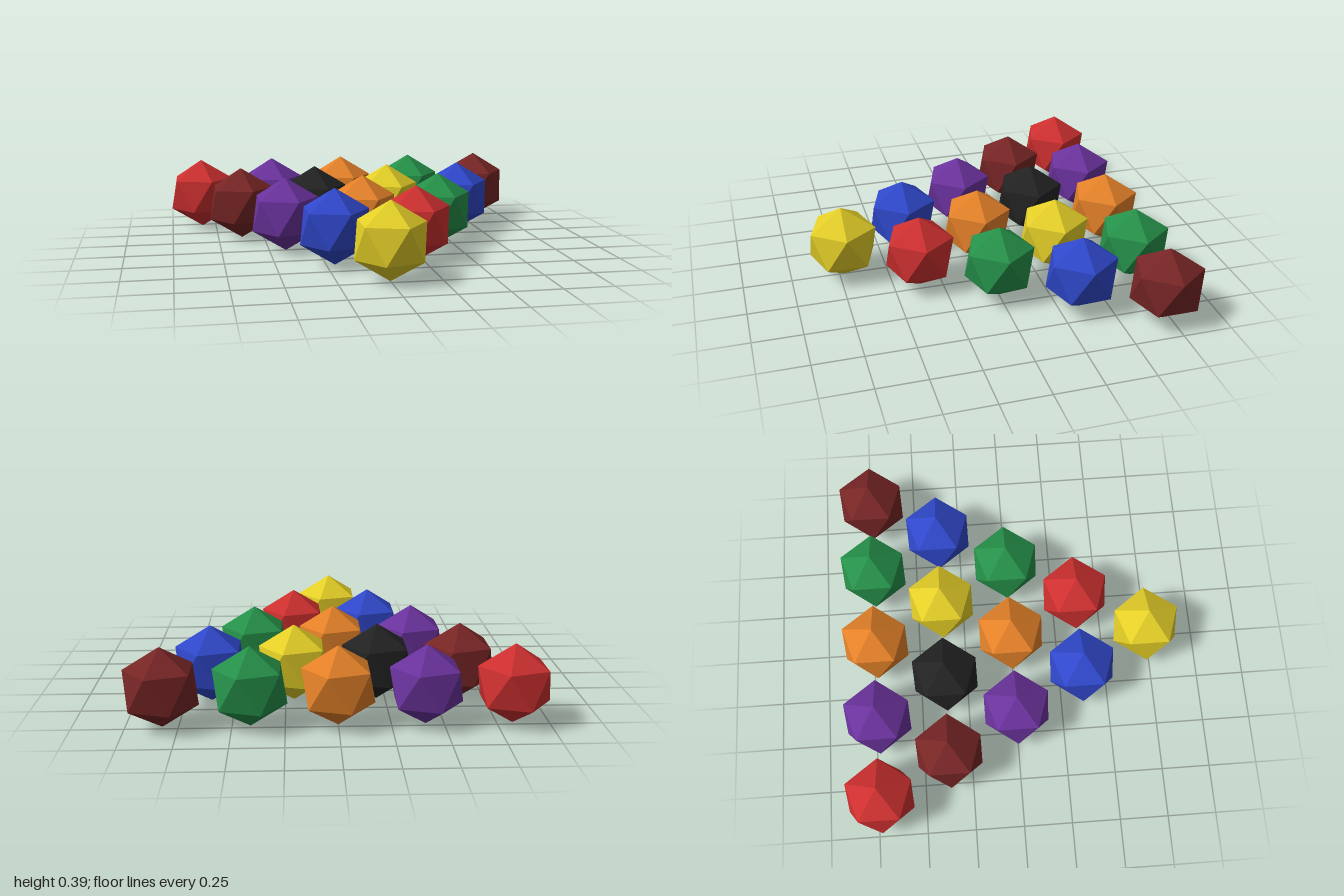
import * as THREE from 'three';

const RADIUS = 0.195;
const SPACING_X = 0.4128;
const SPACING_Z = 0.361;

const COLORS = {
  yellow: 0xe2cd27,
  blue: 0x2f47c9,
  red: 0xcc2f2f,
  purple: 0x6a329c,
  orange: 0xe28028,
  green: 0x259049,
  maroon: 0x772525,
  black: 0x222222,
};

// Rack rows from the back (five balls) to the front (one ball), left to right in x
const ROWS = [
  ['red', 'purple', 'orange', 'green', 'maroon'],
  ['maroon', 'black', 'yellow', 'blue'],
  ['purple', 'orange', 'green'],
  ['blue', 'red'],
  ['yellow'],
];

export function createModel() {
  const rack = new THREE.Group();
  rack.name = 'ballRack';

  const materials = {};
  for (const [name, color] of Object.entries(COLORS)) {
    materials[name] = new THREE.MeshStandardMaterial({ color });
    materials[name].name = name;
  }

  // Faceted ball turned to stand on one corner, with an upper-ring corner at +x
  const ball = new THREE.IcosahedronGeometry(RADIUS, 0);
  ball.rotateZ(-Math.atan(2 / (1 + Math.sqrt(5))));

  ROWS.forEach((row, r) => {
    row.forEach((color, i) => {
      const mesh = new THREE.Mesh(ball, materials[color]);
      mesh.name = `${color}BallRow${r + 1}`;
      mesh.position.set((i - (row.length - 1) / 2) * SPACING_X, RADIUS, (r - 2) * SPACING_Z);
      rack.add(mesh);
    });
  });

  return rack;
}
